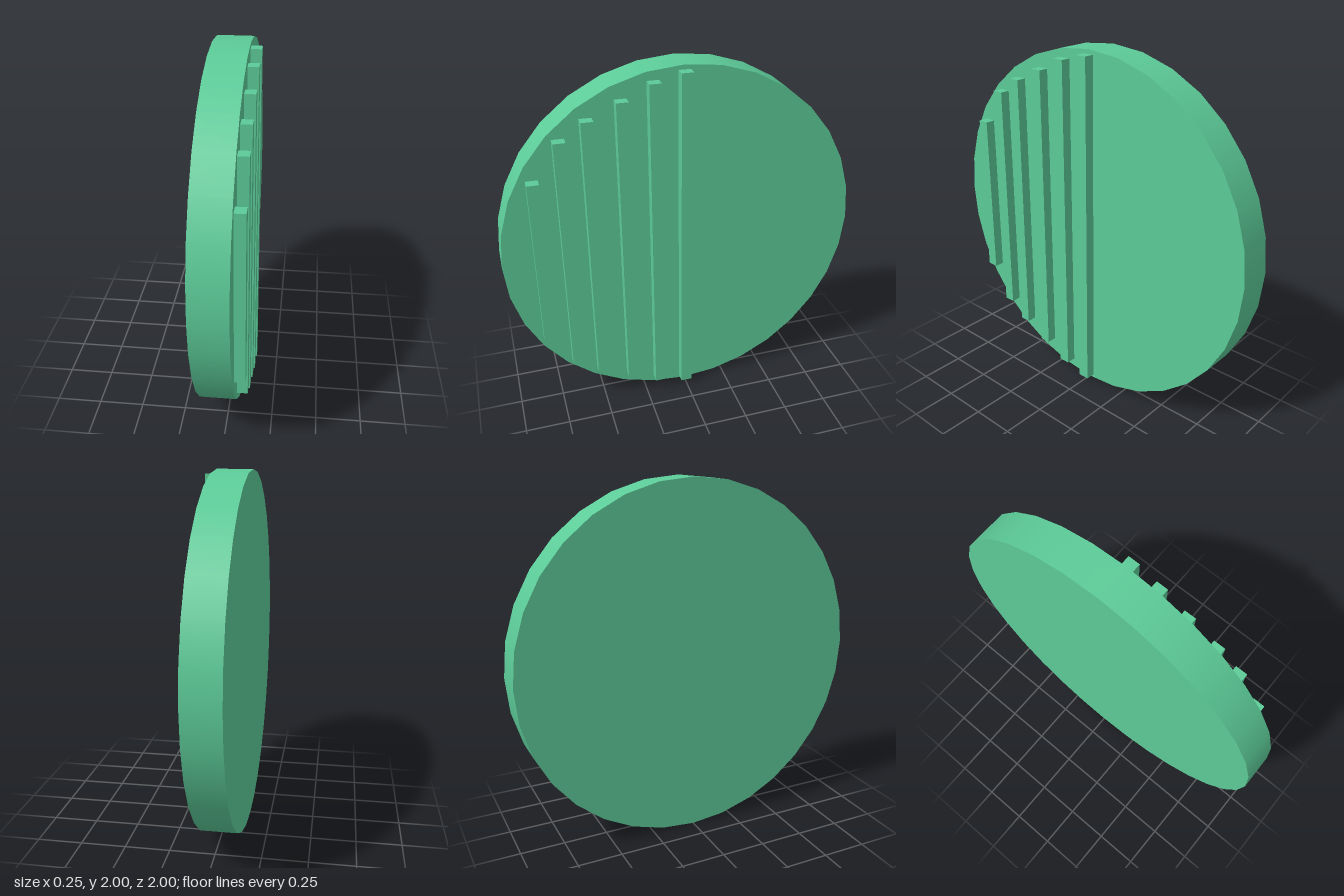
import * as THREE from 'three';

export function createModel() {
  const model = new THREE.Group();
  const material = new THREE.MeshStandardMaterial({ color: 0x5ccb98 });
  const back = -0.127, face = 0.069, front = 0.126;

  // Upright disc, its axis along x
  const discGeometry = new THREE.CylinderGeometry(1, 1, face - back, 32);
  discGeometry.rotateZ(-Math.PI / 2);
  const disc = new THREE.Mesh(discGeometry, material);
  disc.name = 'disc';
  disc.position.set((back + face) / 2, 1, 0);
  model.add(disc);

  // Raised vertical bars on half of the left face: [z, height]
  const bars = new THREE.Group();
  bars.name = 'raisedBars';
  const layout = [[0, 1.95], [0.163, 1.87], [0.33, 1.715], [0.508, 1.555], [0.65, 1.37], [0.797, 0.96]];
  layout.forEach(([z, height], i) => {
    const bar = new THREE.Mesh(new THREE.BoxGeometry(front - face, height, 0.064), material);
    bar.name = `bar${i + 1}`;
    bar.position.set((face + front) / 2, 1, z);
    bars.add(bar);
  });
  model.add(bars);

  return model;
}
